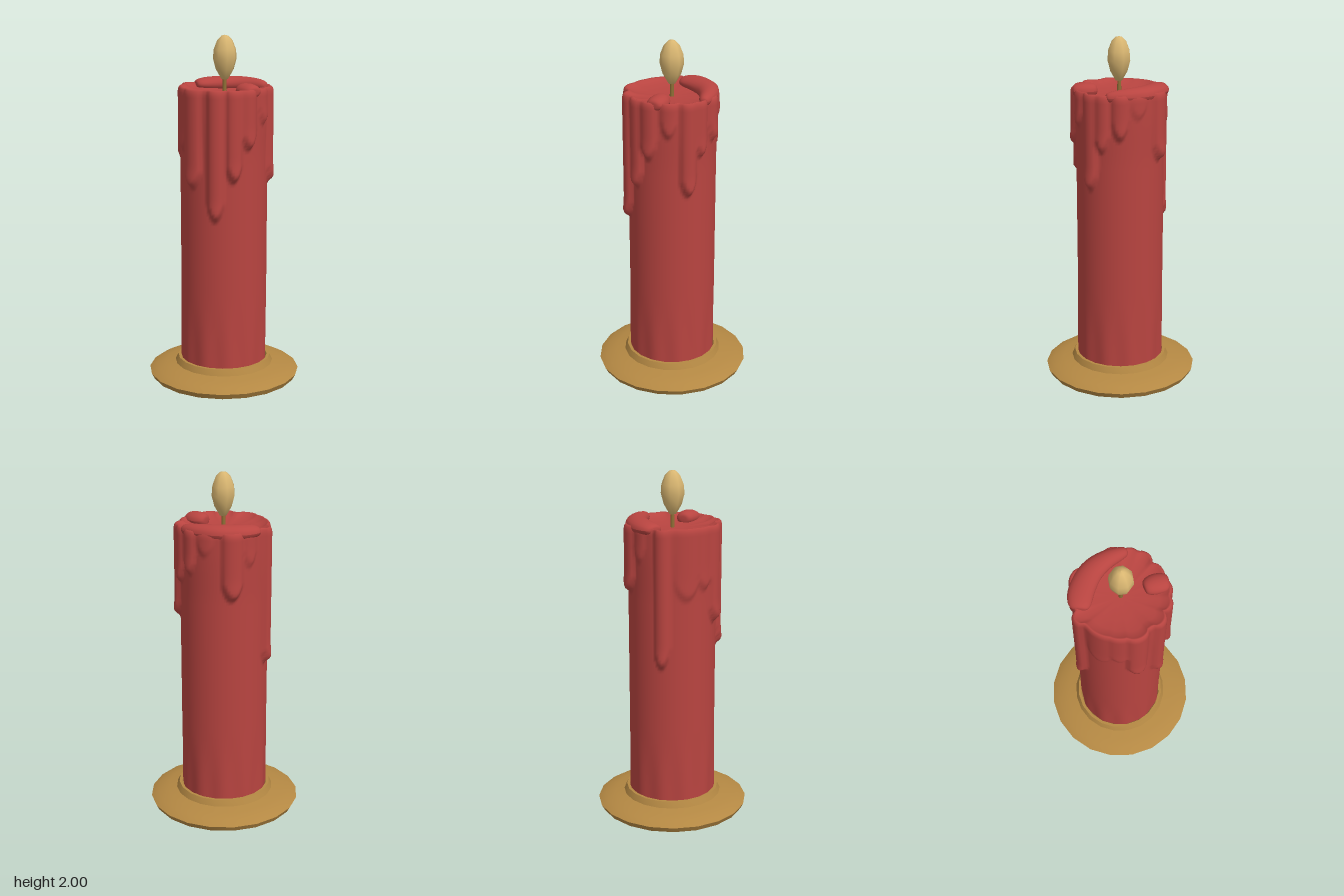
import * as THREE from 'three';
import { toCreasedNormals } from 'three/addons/utils/BufferGeometryUtils.js';

const material = (name, color) => {
  const m = new THREE.MeshStandardMaterial({ color });
  m.name = name;
  return m;
};
const smooth = (a, b, v) => THREE.MathUtils.smoothstep(v, a, b);
const rad = THREE.MathUtils.degToRad;

// Wax runs: angle from +x towards +z, half width (degrees), lower end, thickness
const DRIPS = [
  [90, 14, 1.15, 0.032], [57, 11, 0.97, 0.036], [34, 11, 1.19, 0.033],
  [14, 12, 1.37, 0.03], [-12, 11, 1.5, 0.022], [-37, 11, 1.16, 0.033],
  [-54, 10, 1.38, 0.028], [-77, 11, 1.45, 0.028], [-100, 14, 1.56, 0.014],
  [-135, 14, 1.32, 0.034], [-158, 11, 1.5, 0.016], [170, 10, 0.91, 0.036],
  [138, 18, 1.3, 0.012], [112, 15, 1.35, 0.015],
];

// Radius of the wax column at an angle and height
function waxRadius(angle, y) {
  let extra = 0.006 * smooth(1.3, 1.6, y);
  for (const [deg, width, end, thick] of DRIPS) {
    let d = angle - rad(deg);
    d = Math.abs(Math.atan2(Math.sin(d), Math.cos(d))) / rad(width);
    if (d >= 1) continue;
    // rounded tip: the lower end rises towards the sides of the run
    const tip = end + 0.1 * d * d;
    const bead = 1 + 0.15 * Math.exp(-(((y - end - 0.06) / 0.05) ** 2));
    const across = Math.sqrt(1 - d * d);
    extra = Math.max(extra, thick * across * bead * smooth(tip, tip + 0.045, y));
  }
  // faint folds near the foot
  const folds = 0.004 * Math.sin(angle * 11) * (1 - smooth(0.15, 0.55, y));
  return 0.249 + extra + folds;
}

// Column skin from rings, closed over the top by a shallow pool
function waxGeometry() {
  const columns = 128, rows = 96, rings = [];
  for (let j = 0; j <= rows; j++) rings.push([0.09 + (1.69 - 0.09) * j / rows, 1]);
  rings.push([1.708, 0.985], [1.717, 0.955], [1.714, 0.92], [1.703, 0.87],
    [1.692, 0.75], [1.684, 0.5], [1.68, 0.25], [1.68, 0.001]);
  const positions = [], index = [];
  for (const [y, scale] of rings) {
    for (let i = 0; i < columns; i++) {
      const a = i / columns * Math.PI * 2;
      const r = waxRadius(a, Math.min(y, 1.69)) * scale;
      positions.push(Math.cos(a) * r, y, Math.sin(a) * r);
    }
  }
  for (let j = 0; j < rings.length - 1; j++) {
    for (let i = 0; i < columns; i++) {
      const n = (i + 1) % columns, a = j * columns, b = a + columns;
      index.push(a + i, b + i, a + n, b + i, b + n, a + n);
    }
  }
  const g = new THREE.BufferGeometry();
  g.setAttribute('position', new THREE.Float32BufferAttribute(positions, 3));
  g.setIndex(index);
  g.computeVertexNormals();
  return g;
}

// Soft bead of wax: a sphere stretched along a curve
function beadGeometry(points, y, startWidth, endWidth, height) {
  const curve = new THREE.CatmullRomCurve3(points.map(([x, z]) => new THREE.Vector3(x, y, z)));
  const g = new THREE.SphereGeometry(1, 20, 32);
  const p = g.attributes.position, up = new THREE.Vector3(0, 1, 0), v = new THREE.Vector3();
  for (let i = 0; i < p.count; i++) {
    v.fromBufferAttribute(p, i);
    const t = THREE.MathUtils.clamp((v.y + 1) / 2, 0, 1);
    const round = Math.sqrt(Math.max(1 - v.y * v.y, 0));
    const blunt = round > 1e-4 ? 1 / Math.sqrt(round) : 0;
    const width = THREE.MathUtils.lerp(startWidth, endWidth, t) * blunt;
    const side = curve.getTangent(t).cross(up).normalize();
    const q = curve.getPoint(t).addScaledVector(side, v.x * width).addScaledVector(up, v.z * height * blunt);
    p.setXYZ(i, q.x, q.y, q.z);
  }
  g.computeVertexNormals();
  return g;
}

const lathe = (profile, sides, start = 0) =>
  new THREE.LatheGeometry(profile.map(([r, y]) => new THREE.Vector2(r, y)), sides, start);

export function createModel() {
  const wax = material('red wax', 0xb84440);
  const brass = material('brass', 0xb48843);
  const glow = material('pale flame', 0xd9b671);
  const cord = material('wick cord', 0x8f6f36);
  const group = new THREE.Group();
  group.name = 'candle';
  const add = (name, geometry, mat) => {
    const mesh = new THREE.Mesh(geometry, mat);
    mesh.name = name;
    group.add(mesh);
    return mesh;
  };

  // Dish with a raised collar around the candle
  add('dish', toCreasedNormals(lathe([
    [0, 0.008], [0.3, 0.004], [0.425, 0], [0.442, 0.032], [0.4, 0.056], [0.34, 0.07],
    [0.288, 0.08], [0.272, 0.115], [0.255, 0.115], [0.245, 0.09], [0, 0.09],
  ], 20, rad(6)), 0.5), brass);

  // Wax column and the beads on its rim
  add('waxColumn', waxGeometry(), wax);
  add('backRimBead', beadGeometry(
    [[-0.225, 0], [-0.18, -0.09], [-0.09, -0.175], [0.01, -0.21], [0.13, -0.215]],
    1.705, 0.085, 0.045, 0.045), wax);
  add('sideRimBead', beadGeometry([[0.13, 0.015], [0.19, 0.015], [0.265, 0.03]],
    1.703, 0.052, 0.06, 0.042), wax);

  // Wick and flame
  const wick = add('wick', new THREE.CylinderGeometry(0.01, 0.013, 0.11, 8), cord);
  wick.position.set(0.005, 1.725, 0);
  const flame = add('flame', lathe([
    [0, 1.748], [0.02, 1.755], [0.052, 1.81], [0.068, 1.87], [0.064, 1.92],
    [0.044, 1.97], [0.02, 1.995], [0, 2],
  ], 8, rad(10)), glow);
  flame.position.x = 0.007;
  return group;
}
